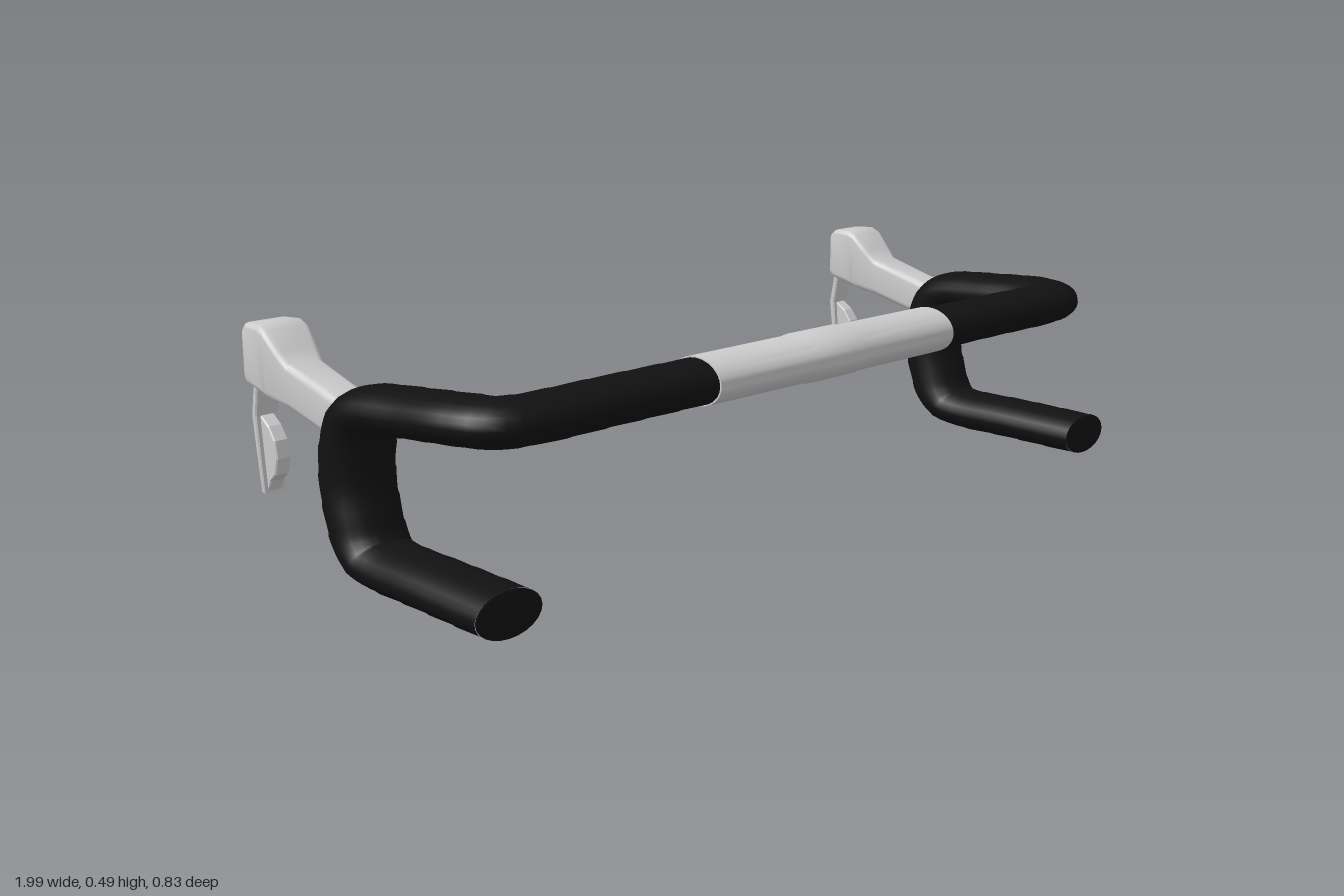
import * as THREE from 'three';
import { toCreasedNormals } from 'three/addons/utils/BufferGeometryUtils.js';

const grey = new THREE.MeshStandardMaterial({ color: 0xcccccc });
const black = new THREE.MeshStandardMaterial({ color: 0x111111 });

// Tube radii along x, y and z: the bar is swept round, then stretched
const R = new THREE.Vector3(0.08, 0.0485, 0.069);
const BAR_Y = 0.388, BAR_Z = 0.339, SIDE_X = 0.908;

function addMesh(parent, name, geometry, material) {
  const mesh = new THREE.Mesh(geometry, material);
  mesh.name = name;
  parent.add(mesh);
  return mesh;
}

// Wrapped tube along the top, round the corner, forward, and down into the drop
function tapedBar(side) {
  const points = [
    [0.36, BAR_Y, BAR_Z], [0.6, BAR_Y, BAR_Z], [0.81, BAR_Y, BAR_Z],
    [0.862, BAR_Y, 0.322], [0.885, 0.387, 0.265], [0.897, 0.377, 0.13],
    [0.907, 0.365, 0.005], [0.908, 0.352, -0.03], [0.908, 0.318, -0.055],
    [0.909, 0.26, -0.069], [0.909, 0.2, -0.069], [0.91, 0.145, -0.055],
    [0.91, 0.095, -0.035], [0.911, 0.065, -0.005], [0.911, 0.056, 0.04],
    [0.913, 0.055, 0.2], [0.914, 0.053, 0.41],
  ].map(([x, y, z]) => new THREE.Vector3(side * x, y, z).divide(R));
  const path = new THREE.CatmullRomCurve3(points, false, 'centripetal');
  const rings = 120, sides = 24, wrap = 6;
  const geometry = new THREE.TubeGeometry(path, rings, 1, sides, false);
  const pos = geometry.attributes.position;
  const v = new THREE.Vector3();
  // Each turn of tape tapers slightly under the next
  for (let i = 0; i <= rings; i++) {
    const centre = path.getPointAt(i / rings);
    const factor = 1 - 0.025 * (i % wrap) / (wrap - 1);
    for (let j = 0; j <= sides; j++) {
      const k = i * (sides + 1) + j;
      v.fromBufferAttribute(pos, k).sub(centre).multiplyScalar(factor).add(centre);
      pos.setXYZ(k, v.x, v.y, v.z);
    }
  }
  geometry.scale(R.x, R.y, R.z);
  return geometry;
}

// Rounded rectangle outline, counter-clockwise seen from +z
function roundedRing(halfW, low, high, r) {
  const ring = [], mid = (low + high) / 2, halfH = (high - low) / 2;
  const corners = [[1, 1], [-1, 1], [-1, -1], [1, -1]];
  corners.forEach(([sx, sy], c) => {
    for (let k = 0; k <= 4; k++) {
      const a = (c + k / 4) * Math.PI / 2;
      ring.push([sx * (halfW - r) + r * Math.cos(a), mid + sy * (halfH - r) + r * Math.sin(a)]);
    }
  });
  return ring;
}

// Skin through sections [z, low, high, half width], with both ends closed
function loft(sections) {
  const verts = [], index = [];
  const n = 20;
  for (const [z, low, high, w] of sections) {
    for (const [x, y] of roundedRing(w, low, high, 0.016)) verts.push(x, y, z);
  }
  for (let i = 0; i < sections.length - 1; i++) {
    for (let j = 0; j < n; j++) {
      const a = i * n + j, b = i * n + (j + 1) % n;
      index.push(a, a + n, b, b, a + n, b + n);
    }
  }
  const last = (sections.length - 1) * n;
  for (let j = 1; j < n - 1; j++) {
    index.push(0, j, j + 1);
    index.push(last, last + j + 1, last + j);
  }
  const geometry = new THREE.BufferGeometry();
  geometry.setAttribute('position', new THREE.Float32BufferAttribute(verts, 3));
  geometry.setIndex(index);
  return toCreasedNormals(geometry, 0.6);
}

// Plate cut from a side outline of [z, y] points, centred on x
function plate(outline, width) {
  const shape = new THREE.Shape(outline.map(([z, y]) => new THREE.Vector2(-z, y)));
  const bevel = 0.003;
  const geometry = new THREE.ExtrudeGeometry(shape, {
    depth: width - 2 * bevel, bevelSize: bevel, bevelOffset: -bevel,
    bevelThickness: bevel, bevelSegments: 1,
  });
  geometry.translate(0, 0, -(width / 2 - bevel));
  geometry.rotateY(Math.PI / 2);
  return geometry;
}

// Hood, lever and paddle for one side
function brakeLever() {
  const group = new THREE.Group();
  group.name = 'brakeLever';
  addMesh(group, 'hood', loft([
    [-0.06, 0.297, 0.372, 0.043], [-0.13, 0.299, 0.39, 0.043],
    [-0.245, 0.326, 0.42, 0.045], [-0.27, 0.332, 0.443, 0.051],
    [-0.31, 0.341, 0.483, 0.057], [-0.332, 0.346, 0.492, 0.057],
    [-0.383, 0.356, 0.488, 0.056], [-0.396, 0.361, 0.479, 0.051],
    [-0.4, 0.369, 0.469, 0.045],
  ]), grey);
  addMesh(group, 'leverBlade', plate([
    [-0.385, 0.44], [-0.403, 0.44], [-0.403, 0.355], [-0.417, 0.282],
    [-0.408, 0.21], [-0.394, 0.115], [-0.384, 0.115], [-0.392, 0.19],
    [-0.401, 0.282], [-0.388, 0.355],
  ], 0.056), grey);
  addMesh(group, 'leverPaddle', plate([
    [-0.402, 0.282], [-0.372, 0.263], [-0.351, 0.235], [-0.344, 0.197],
    [-0.354, 0.16], [-0.374, 0.143], [-0.386, 0.118], [-0.398, 0.2],
  ], 0.034), grey);
  return group;
}

export function createModel() {
  const model = new THREE.Group();
  model.name = 'dropHandlebar';

  // Bare centre section with a slightly thicker clamp zone
  const profile = [
    [0, -0.37], [1.05, -0.37], [1.06, -0.08], [1.11, -0.065],
    [1.11, 0.065], [1.06, 0.08], [1.05, 0.37], [0, 0.37],
  ].map(([r, h]) => new THREE.Vector2(r, h));
  const centre = new THREE.LatheGeometry(profile, 40);
  centre.rotateZ(Math.PI / 2);
  centre.scale(1, R.y, R.z);
  const clamp = addMesh(model, 'centreClamp', toCreasedNormals(centre, 0.5), grey);
  clamp.position.set(0, BAR_Y, BAR_Z);

  for (const side of [1, -1]) {
    const half = new THREE.Group();
    half.name = side > 0 ? 'leftSide' : 'rightSide';
    addMesh(half, 'tapedBar', tapedBar(side), black);

    // Plug closing the end of the drop
    const plug = addMesh(half, 'endPlug', new THREE.SphereGeometry(1, 24, 12), black);
    plug.scale.set(R.x * 0.98, R.y * 0.98, 0.004);
    plug.position.set(side * 0.914, 0.053, 0.409);

    const lever = brakeLever();
    lever.position.x = side * SIDE_X;
    half.add(lever);
    model.add(half);
  }
  return model;
}
